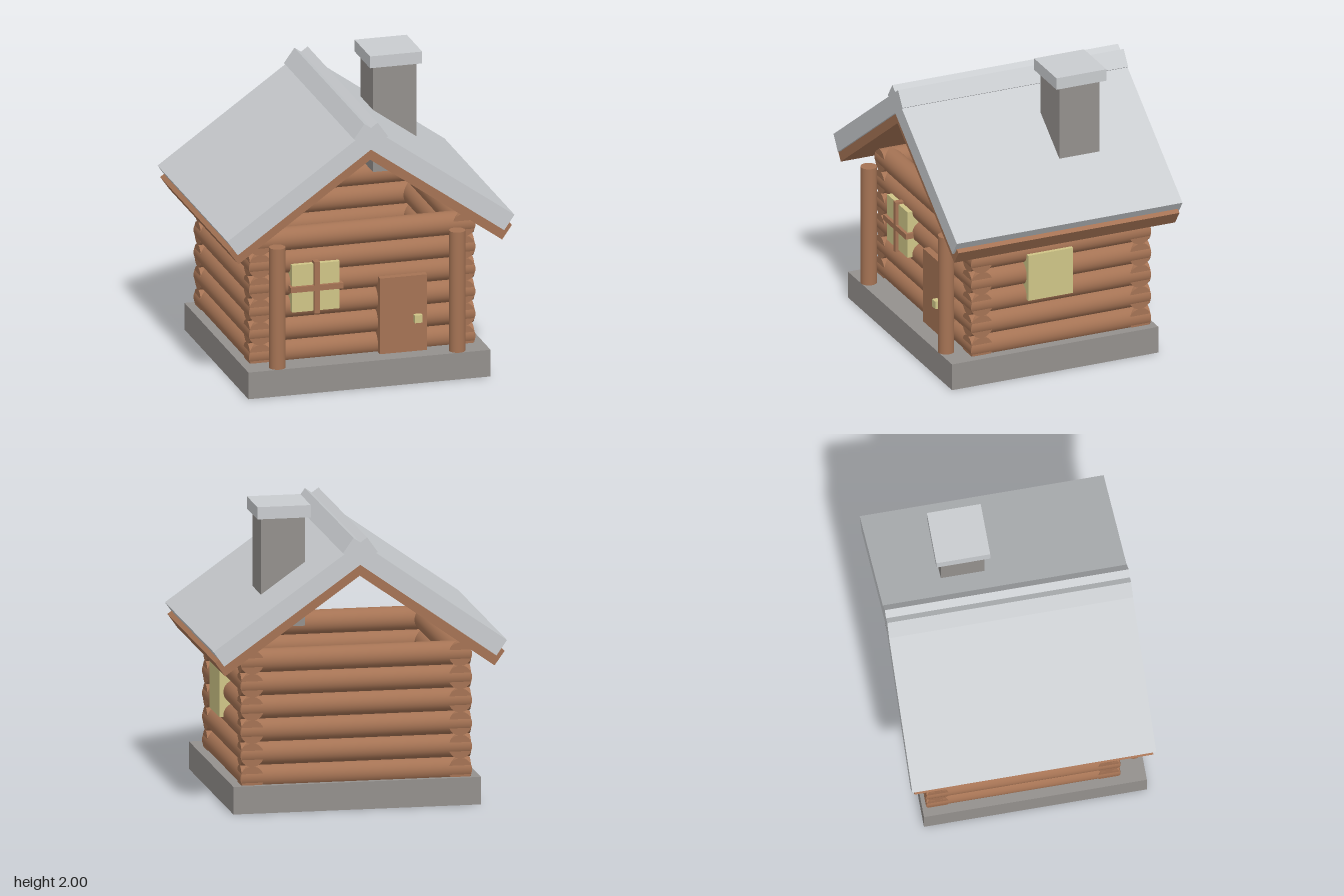
import * as THREE from 'three';

const mat = (name, color) => {
  const m = new THREE.MeshStandardMaterial({ color });
  m.name = name;
  return m;
};

export function createModel() {
  const house = new THREE.Group();
  house.name = 'logCabin';
  const wood = mat('wood', 0xa57354);
  const stone = mat('stone', 0x94908d);
  const slate = mat('paleRoof', 0xc9cccf);
  const glass = mat('yellowGlass', 0xcfc587);

  const add = (name, geometry, material, parent = house) => {
    const mesh = new THREE.Mesh(geometry, material);
    mesh.name = name;
    parent.add(mesh);
    return mesh;
  };
  // Box given by its extents on each axis
  const box = (name, material, [x0, x1], [y0, y1], [z0, z1]) => {
    const mesh = add(name, new THREE.BoxGeometry(x1 - x0, y1 - y0, z1 - z0), material);
    mesh.position.set((x0 + x1) / 2, (y0 + y1) / 2, (z0 + z1) / 2);
    return mesh;
  };

  // Foundation
  box('foundation', stone, [-0.83, 0.83], [0, 0.185], [-0.71, 0.78]);

  // Log walls: six courses of crossing logs, ends just short of the crossing log's crest
  const r = 0.079, pitch = 0.1555, zMid = -0.035;
  const walls = new THREE.Group();
  walls.name = 'logWalls';
  house.add(walls);
  const longLog = new THREE.CylinderGeometry(r, r, 1.54, 32).rotateZ(Math.PI / 2);
  const sideLog = new THREE.CylinderGeometry(r, r, 1.29, 32).rotateX(Math.PI / 2);
  for (let i = 0; i < 6; i++) {
    const y = 0.231 + i * pitch;
    for (const s of [-1, 1]) {
      add(s > 0 ? 'frontLog' : 'backLog', longLog, wood, walls).position.set(0, y, zMid + s * 0.572);
      add(s > 0 ? 'leftLog' : 'rightLog', sideLog, wood, walls).position.set(s * 0.698, y, zMid);
    }
  }

  // Porch posts
  for (const s of [-1, 1]) {
    const post = add('porchPost', new THREE.CylinderGeometry(0.054, 0.054, 0.835, 32), wood);
    post.position.set(s * 0.617, 0.6025, 0.727);
  }

  // Door and knob
  box('door', wood, [0.107, 0.43], [0.185, 0.71], [0.55, 0.663]);
  box('doorKnob', glass, [0.335, 0.388], [0.39, 0.443], [0.65, 0.7]);

  // Windows
  box('frontWindow', glass, [-0.492, -0.166], [0.527, 0.854], [0.55, 0.65]);
  box('windowBarVertical', wood, [-0.346, -0.309], [0.513, 0.87], [0.6, 0.672]);
  box('windowBarHorizontal', wood, [-0.508, -0.146], [0.67, 0.708], [0.6, 0.672]);
  box('sideWindow', glass, [0.7, 0.804], [0.529, 0.853], [-0.107, 0.217]);

  // Roof slabs: each lies on a line from the ridge, running past it so the two sides cross
  const pitchAngle = 0.616;
  const slab = (name, material, ridgeY, past, down, thick, depth) => {
    for (const s of [-1, 1]) {
      const slope = new THREE.Group();
      slope.name = s > 0 ? name + 'Left' : name + 'Right';
      slope.position.y = ridgeY;
      slope.rotation.z = -s * pitchAngle;
      house.add(slope);
      const board = add(name, new THREE.BoxGeometry(past + down, thick, depth), material, slope);
      board.position.set(s * (down - past) / 2, thick / 2, 0);
    }
  };
  slab('roofCovering', slate, 1.666, 0.143, 1.119, 0.123, 1.63);
  slab('roofPlanking', wood, 1.59, 0.09, 1.108, 0.116, 1.596);

  // Chimney
  box('chimney', stone, [0.286, 0.583], [1.183, 1.93], [-0.397, -0.107]);
  box('chimneyCap', slate, [0.255, 0.613], [1.918, 2], [-0.433, -0.073]);

  return house;
}
